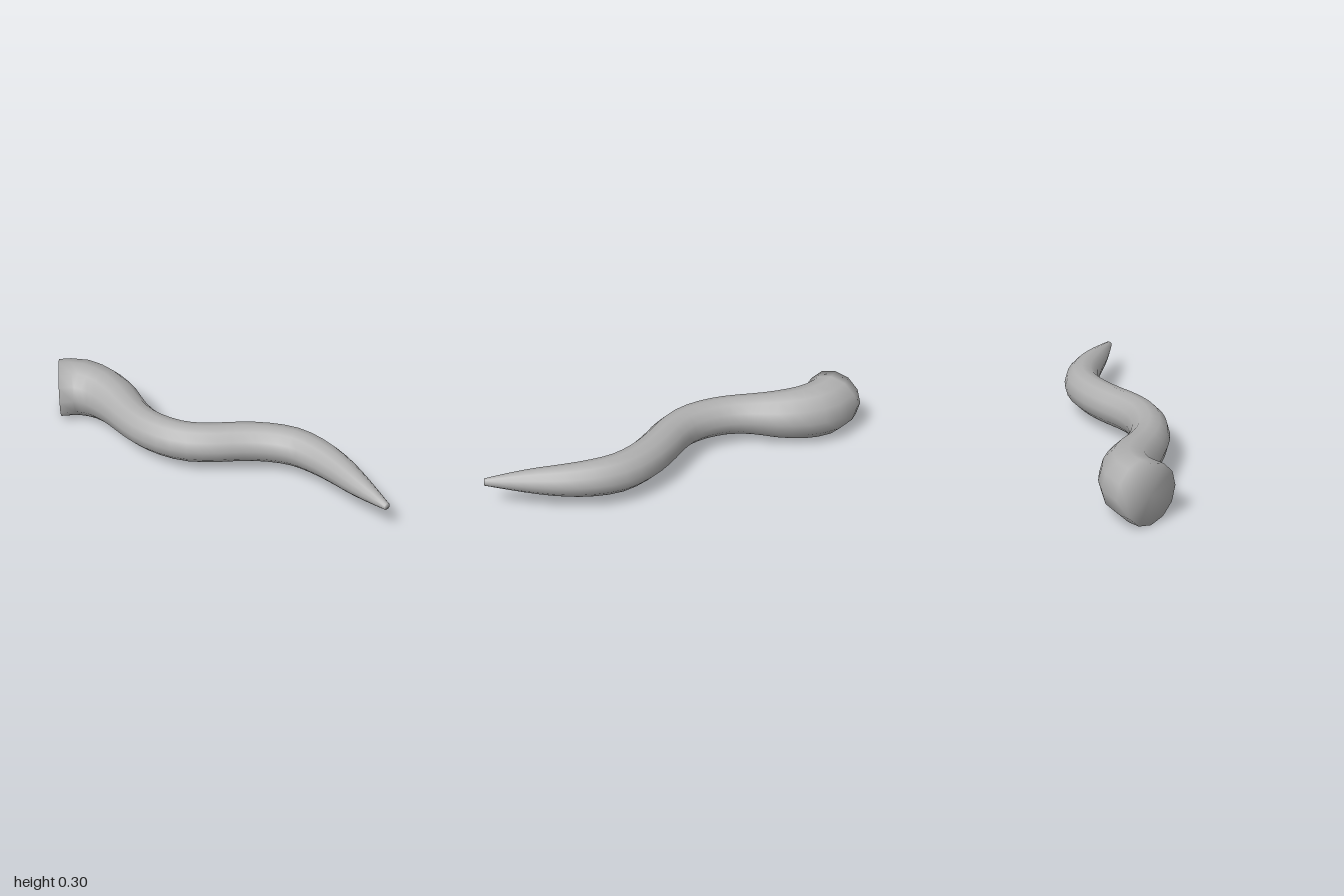
import * as THREE from 'three';

const SIDES = 12, ROWS = 32, HEIGHT = 0.15;

// Spine in plan: x, radius, z
const SPINE = [
  [-0.91, 0.148, 0.025], [-0.825, 0.147, -0.035], [-0.7, 0.136, -0.045],
  [-0.57, 0.121, -0.005], [-0.45, 0.104, 0.057], [-0.33, 0.098, 0.105],
  [-0.2, 0.097, 0.122], [-0.08, 0.097, 0.105], [0.03, 0.097, 0.05],
  [0.13, 0.097, -0.022], [0.25, 0.096, -0.09], [0.39, 0.094, -0.13],
  [0.52, 0.088, -0.117], [0.65, 0.077, -0.075], [0.78, 0.06, -0.015],
  [0.9, 0.037, 0.04], [0.99, 0.017, 0.08],
];

// Round sections swept along the wavy spine, closed at both ends
function taperedTube() {
  const curve = new THREE.CatmullRomCurve3(SPINE.map((p) => new THREE.Vector3(...p)));
  const pos = [], index = [];
  for (let i = 0; i <= ROWS; i++) {
    const p = curve.getPointAt(i / ROWS);
    const t = curve.getTangentAt(i / ROWS).setY(0).normalize();
    for (let j = 0; j < SIDES; j++) {
      const a = (j / SIDES) * Math.PI * 2;
      const s = Math.cos(a) * p.y;
      pos.push(p.x - t.z * s, HEIGHT + Math.sin(a) * p.y, p.z + t.x * s);
    }
  }
  const first = SPINE[0], last = SPINE[SPINE.length - 1];
  const startCap = pos.length / 3, endCap = startCap + 1;
  pos.push(first[0], HEIGHT, first[2], last[0], HEIGHT, last[2]);

  for (let j = 0; j < SIDES; j++) {
    const k = (j + 1) % SIDES;
    for (let i = 0; i < ROWS; i++) {
      const a = i * SIDES + j, b = i * SIDES + k;
      index.push(a, a + SIDES, b, b, a + SIDES, b + SIDES);
    }
    index.push(startCap, j, k);
    index.push(endCap, ROWS * SIDES + k, ROWS * SIDES + j);
  }
  const geo = new THREE.BufferGeometry();
  geo.setAttribute('position', new THREE.Float32BufferAttribute(pos, 3));
  geo.setIndex(index);
  geo.computeVertexNormals();
  return geo;
}

export function createModel() {
  const group = new THREE.Group();
  group.name = 'wavyHorn';
  const grey = new THREE.MeshStandardMaterial({ color: 0xb0b0b0 });
  grey.name = 'grey';
  const body = new THREE.Mesh(taperedTube(), grey);
  body.name = 'taperedBody';
  group.add(body);
  return group;
}
